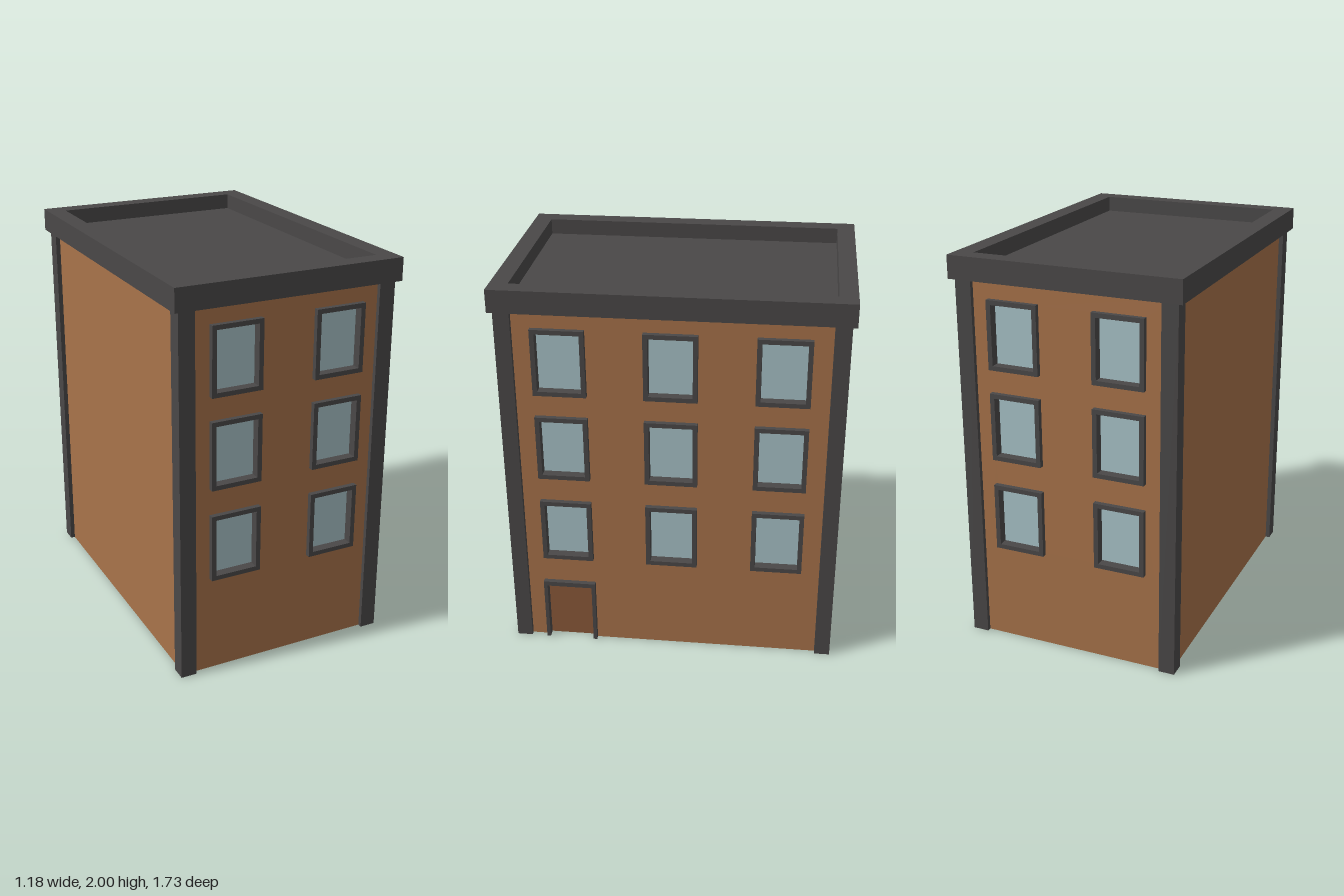
import * as THREE from 'three';

const HALF_X = 0.54, HALF_Z = 0.82, WALL_TOP = 1.9;
const ROWS = [0.68, 1.161, 1.626];
const WIN_W = 0.262, WIN_H = 0.346, BORDER = 0.023;
const FRAME_BACK = -0.028, FRAME_FRONT = 0.026;
const DOOR_X = -0.543, DOOR_W = 0.274, DOOR_H = 0.358;

const mat = (color, side = THREE.FrontSide) =>
  new THREE.MeshStandardMaterial({ color, side, flatShading: true });

function mesh(name, geometry, material, x = 0, y = 0, z = 0) {
  const m = new THREE.Mesh(geometry, material);
  m.name = name;
  m.position.set(x, y, z);
  return m;
}

// Closed path through [x, y] pairs
function outline(points, Type = THREE.Shape) {
  return new Type(points.map(([x, y]) => new THREE.Vector2(x, y)));
}

function rect(cx, cy, w, h, Type) {
  const a = w / 2, b = h / 2;
  return outline([[cx - a, cy - b], [cx + a, cy - b], [cx + a, cy + b], [cx - a, cy + b]], Type);
}

const extrude = (shape, depth) =>
  new THREE.ExtrudeGeometry(shape, { depth, bevelEnabled: false });

export function createModel() {
  const model = new THREE.Group();
  model.name = 'building';
  const brick = mat(0xa8734a, THREE.DoubleSide);
  const trim = mat(0x4a4848);
  const glass = mat(0xa9c3c8);
  const doorWood = mat(0x8b5a3a);

  // Shared window parts
  const ring = rect(0, 0, WIN_W, WIN_H);
  ring.holes.push(rect(0, 0, WIN_W - 2 * BORDER, WIN_H - 2 * BORDER, THREE.Path));
  const frameGeo = extrude(ring, FRAME_FRONT - FRAME_BACK);
  const paneGeo = new THREE.BoxGeometry(WIN_W - 2 * BORDER, WIN_H - 2 * BORDER, 0.006);

  function makeWindow(x, y) {
    const g = new THREE.Group();
    g.name = 'window';
    g.add(mesh('windowFrame', frameGeo, trim, 0, 0, FRAME_BACK));
    g.add(mesh('windowPane', paneGeo, glass, 0, 0, FRAME_BACK + 0.004));
    g.position.set(x, y, 0);
    return g;
  }

  // Doorway: three-sided frame with a recessed panel
  function makeDoor() {
    const g = new THREE.Group();
    g.name = 'door';
    const a = DOOR_W / 2, b = a - 0.019, top = DOOR_H - 0.025;
    const arch = outline([[-a, 0], [-b, 0], [-b, top], [b, top], [b, 0], [a, 0], [a, DOOR_H], [-a, DOOR_H]]);
    g.add(mesh('doorFrame', extrude(arch, FRAME_FRONT - FRAME_BACK), trim, 0, 0, FRAME_BACK));
    g.add(mesh('doorPanel', new THREE.BoxGeometry(2 * b, top, 0.008), doorWood, 0, top / 2, FRAME_BACK + 0.005));
    g.position.x = DOOR_X;
    return g;
  }

  // One thin wall facing local +z, pierced for its windows and door
  function makeWall(name, halfWidth, columns, hasDoor = false) {
    const g = new THREE.Group();
    g.name = name;
    const l = DOOR_X - DOOR_W / 2 + 0.008, r = DOOR_X + DOOR_W / 2 - 0.008, t = DOOR_H - 0.008;
    const notch = hasDoor ? [[l, 0], [l, t], [r, t], [r, 0]] : [];
    const shape = outline([[-halfWidth, 0], ...notch, [halfWidth, 0], [halfWidth, WALL_TOP], [-halfWidth, WALL_TOP]]);
    for (const x of columns) {
      for (const y of ROWS) {
        shape.holes.push(rect(x, y, WIN_W - 0.016, WIN_H - 0.016, THREE.Path));
        g.add(makeWindow(x, y));
      }
    }
    g.add(mesh('wallSurface', new THREE.ShapeGeometry(shape), brick));
    if (hasDoor) g.add(makeDoor());
    return g;
  }

  const front = makeWall('frontWall', HALF_X, [-0.268, 0.272]);
  front.position.z = HALF_Z;
  const back = makeWall('backWall', HALF_X, [-0.27, 0.27]);
  back.position.z = -HALF_Z;
  back.rotation.y = Math.PI;
  const left = makeWall('leftWall', HALF_Z, [-0.541, 0, 0.539], true);
  left.position.x = HALF_X;
  left.rotation.y = Math.PI / 2;
  const right = makeWall('rightWall', HALF_Z, []);
  right.position.x = -HALF_X;
  right.rotation.y = -Math.PI / 2;
  model.add(front, back, left, right);

  // Corner pillars
  const pillarGeo = new THREE.BoxGeometry(0.082, WALL_TOP, 0.08);
  for (const sx of [-1, 1]) {
    for (const sz of [-1, 1]) {
      model.add(mesh('cornerPillar', pillarGeo, trim, sx * 0.522, WALL_TOP / 2, sz * 0.802));
    }
  }

  // Parapet ring with a sunken flat roof
  const parapet = rect(0, 0, 1.176, 1.726);
  parapet.holes.push(rect(0, 0, 0.99, 1.546, THREE.Path));
  const parapetGeo = extrude(parapet, 0.115).rotateX(-Math.PI / 2);
  model.add(mesh('parapet', parapetGeo, trim, 0, 1.885, 0));
  model.add(mesh('roof', new THREE.BoxGeometry(0.99, 0.035, 1.546), trim, 0, 1.9025, 0));

  return model;
}
